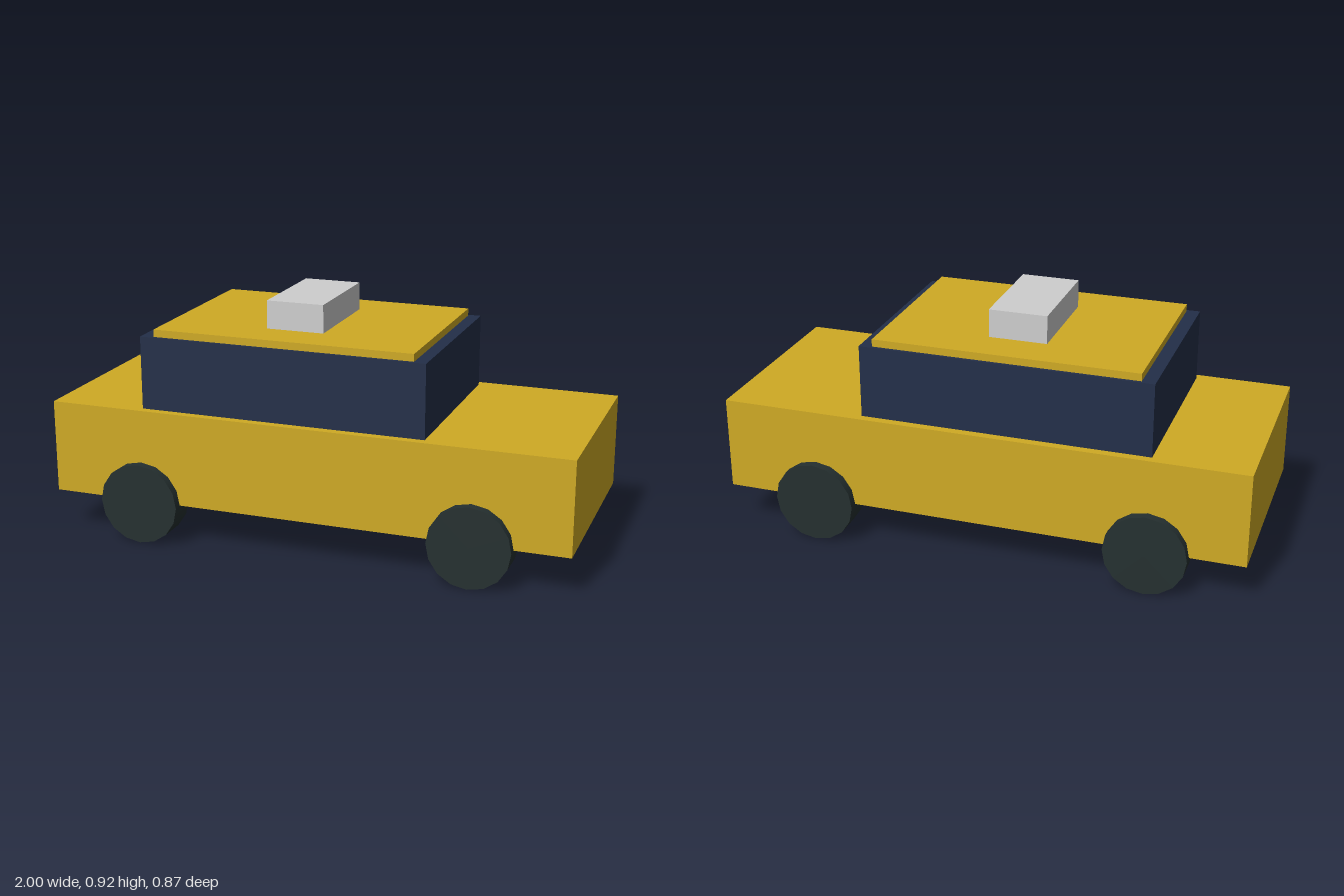
import * as THREE from 'three';

const material = (name, color) => {
  const m = new THREE.MeshStandardMaterial({ color });
  m.name = name;
  return m;
};

export function createModel() {
  const car = new THREE.Group();
  car.name = 'taxi';

  const yellow = material('taxi yellow', 0xcfaa24);
  const navy = material('dark glass', 0x232f49);
  const rubber = material('tyre rubber', 0x253030);
  const grey = material('sign grey', 0xcecece);

  // Box spanning x0..x1 and y0..y1, centred on z
  function box(name, mat, x0, x1, y0, y1, depth) {
    const mesh = new THREE.Mesh(new THREE.BoxGeometry(x1 - x0, y1 - y0, depth), mat);
    mesh.name = name;
    mesh.position.set((x0 + x1) / 2, (y0 + y1) / 2, 0);
    car.add(mesh);
  }

  box('body', yellow, -1, 1, 0.157, 0.513, 0.8);
  box('cabin', navy, -0.64, 0.457, 0.513, 0.79, 0.736);
  box('roof', yellow, -0.59, 0.41, 0.79, 0.818, 0.712);
  box('roofSign', grey, -0.203, 0.017, 0.818, 0.924, 0.4);

  // Four wheels, mirrored across both axes
  const wheel = new THREE.CylinderGeometry(0.155, 0.155, 0.11, 16).rotateX(Math.PI / 2);
  for (const x of [-0.64, 0.64]) {
    for (const z of [-0.379, 0.379]) {
      const mesh = new THREE.Mesh(wheel, rubber);
      mesh.name = `${x < 0 ? 'rightSide' : 'leftSide'}${z < 0 ? 'Back' : 'Front'}Wheel`;
      mesh.position.set(x, 0.155, z);
      car.add(mesh);
    }
  }

  return car;
}
